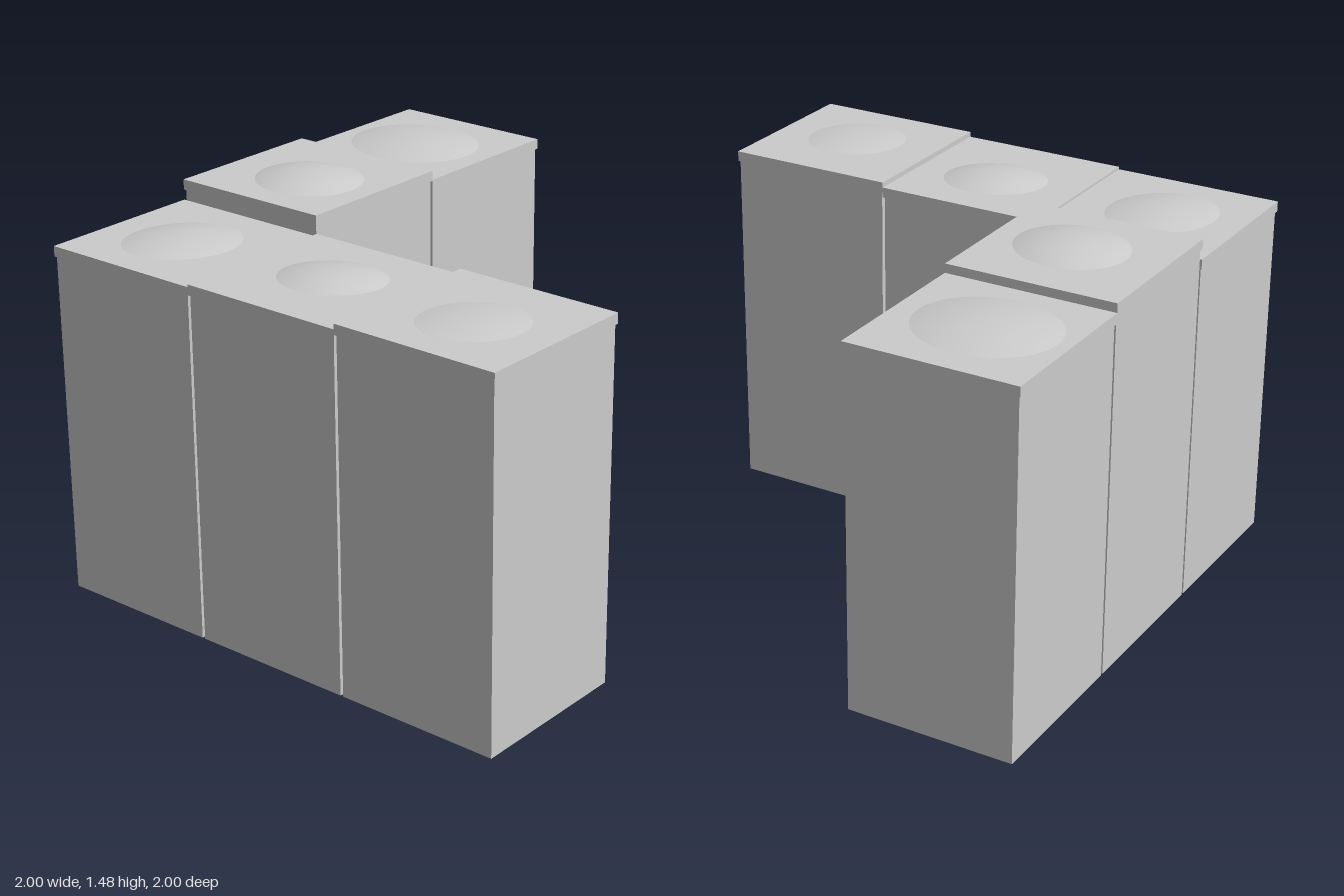
import * as THREE from 'three';
import { mergeVertices } from 'three/addons/utils/BufferGeometryUtils.js';

const CELL = 2 / 3, GAP = 0.012, CAP = 0.04;

// Low, slightly irregular mound: rim to apex profile, its outline stretched along one diagonal
function moundGeometry(rx, rz, height, skew) {
  const profile = [];
  for (let i = 0; i <= 10; i++) {
    const r = 1 - i / 10;
    profile.push(new THREE.Vector2(r, height * (1 - r * r)));
  }
  let geo = new THREE.LatheGeometry(profile, 48);
  const p = geo.attributes.position;
  for (let i = 0; i < p.count; i++) {
    const x = p.getX(i), z = p.getZ(i);
    const k = 1 + skew * Math.sin(2 * Math.atan2(z, x));
    p.setXYZ(i, x * rx * k, p.getY(i), z * rz * k);
  }
  geo.deleteAttribute('uv');
  geo.deleteAttribute('normal');
  geo = mergeVertices(geo, 1e-5);
  geo.computeVertexNormals();
  return geo;
}

export function createModel() {
  const model = new THREE.Group();
  model.name = 'cornerUnits';
  const grey = new THREE.MeshStandardMaterial({ color: 0xcccccc });
  grey.name = 'light grey';

  const add = (group, name, geometry, x, y, z) => {
    const mesh = new THREE.Mesh(geometry, grey);
    mesh.name = name;
    mesh.position.set(x, y, z);
    group.add(mesh);
  };

  // Five units in an L: grid cell, top height, mound centre, radii, height and skew
  const units = [
    { name: 'cornerUnit', i: -1, k: -1, top: 1.37, mound: [-0.672, -0.678, 0.217, 0.203, 0.025, 0.05] },
    { name: 'backMiddleUnit', i: 0, k: -1, top: 1.45, mound: [-0.028, -0.638, 0.202, 0.217, 0.034, -0.02] },
    { name: 'backEndUnit', i: 1, k: -1, top: 1.415, mound: [0.653, -0.683, 0.238, 0.268, 0.03, -0.01] },
    { name: 'sideMiddleUnit', i: -1, k: 0, top: 1.38, mound: [-0.638, 0.012, 0.173, 0.198, 0.03, 0.05] },
    { name: 'sideEndUnit', i: -1, k: 1, top: 1.4, mound: [-0.698, 0.678, 0.188, 0.188, 0.017, 0.04] },
  ];

  for (const { name, i, k, top, mound } of units) {
    const unit = new THREE.Group();
    unit.name = name;
    const x = i * CELL, z = k * CELL, bodyH = top - CAP;
    const [mx, mz, rx, rz, h, skew] = mound;
    add(unit, 'body', new THREE.BoxGeometry(CELL - GAP, bodyH, CELL - GAP), x, bodyH / 2, z);
    add(unit, 'topSlab', new THREE.BoxGeometry(CELL, CAP, CELL), x, top - CAP / 2, z);
    add(unit, 'mound', moundGeometry(rx, rz, h, skew), mx, top, mz);
    model.add(unit);
  }
  return model;
}
